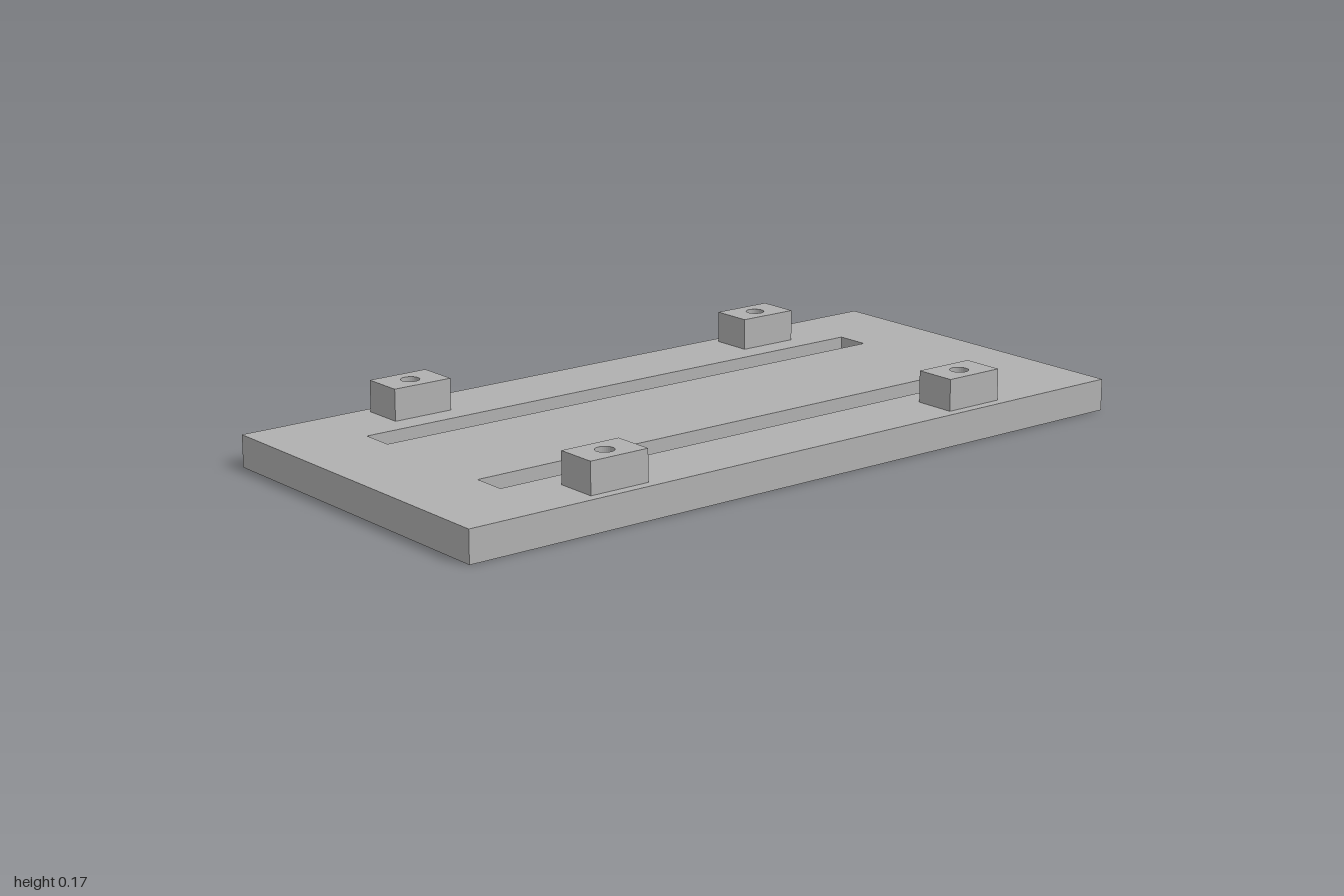
import * as THREE from 'three';

const PLATE_H = 0.083, BLOCK_H = 0.082;
const HOLE_X = 0.397, HOLE_Z = 0.562, HOLE_R = 0.024;

// closed rectangle centred on (cx, cy)
function rect(PathType, cx, cy, w, h) {
  const p = new PathType();
  p.moveTo(cx - w / 2, cy - h / 2);
  p.lineTo(cx + w / 2, cy - h / 2);
  p.lineTo(cx + w / 2, cy + h / 2);
  p.lineTo(cx - w / 2, cy + h / 2);
  p.closePath();
  return p;
}

function boltHole(cx, cy) {
  return new THREE.Path().absarc(cx, cy, HOLE_R, 0, Math.PI * 2, true);
}

// extrude a plan outline upward from y = 0
function extrudeUp(shape, height) {
  return new THREE.ExtrudeGeometry(shape, { depth: height, bevelEnabled: false, curveSegments: 16 })
    .rotateX(-Math.PI / 2);
}

export function createModel() {
  const model = new THREE.Group();
  model.name = 'slottedMountingPlate';
  const grey = new THREE.MeshStandardMaterial({ color: 0xb0b0b0 });
  grey.name = 'grey';

  // base plate with two long slots and four bolt holes
  const plan = rect(THREE.Shape, 0, 0, 0.956, 2);
  for (const sx of [-1, 1]) {
    plan.holes.push(rect(THREE.Path, sx * 0.232, 0, 0.09, 1.542));
    for (const sz of [-1, 1]) plan.holes.push(boltHole(sx * HOLE_X, sz * HOLE_Z));
  }
  const plate = new THREE.Mesh(extrudeUp(plan, PLATE_H), grey);
  plate.name = 'basePlate';
  model.add(plate);

  // drilled mounting blocks
  const blockPlan = rect(THREE.Shape, 0, 0, 0.111, 0.166);
  blockPlan.holes.push(boltHole(0, 0));
  const blockGeometry = extrudeUp(blockPlan, BLOCK_H);
  for (const sx of [-1, 1]) {
    for (const sz of [-1, 1]) {
      const block = new THREE.Mesh(blockGeometry, grey);
      block.name = `${sz > 0 ? 'front' : 'back'}${sx > 0 ? 'Left' : 'Right'}Block`;
      block.position.set(sx * HOLE_X, PLATE_H, sz * HOLE_Z);
      model.add(block);
    }
  }
  return model;
}
